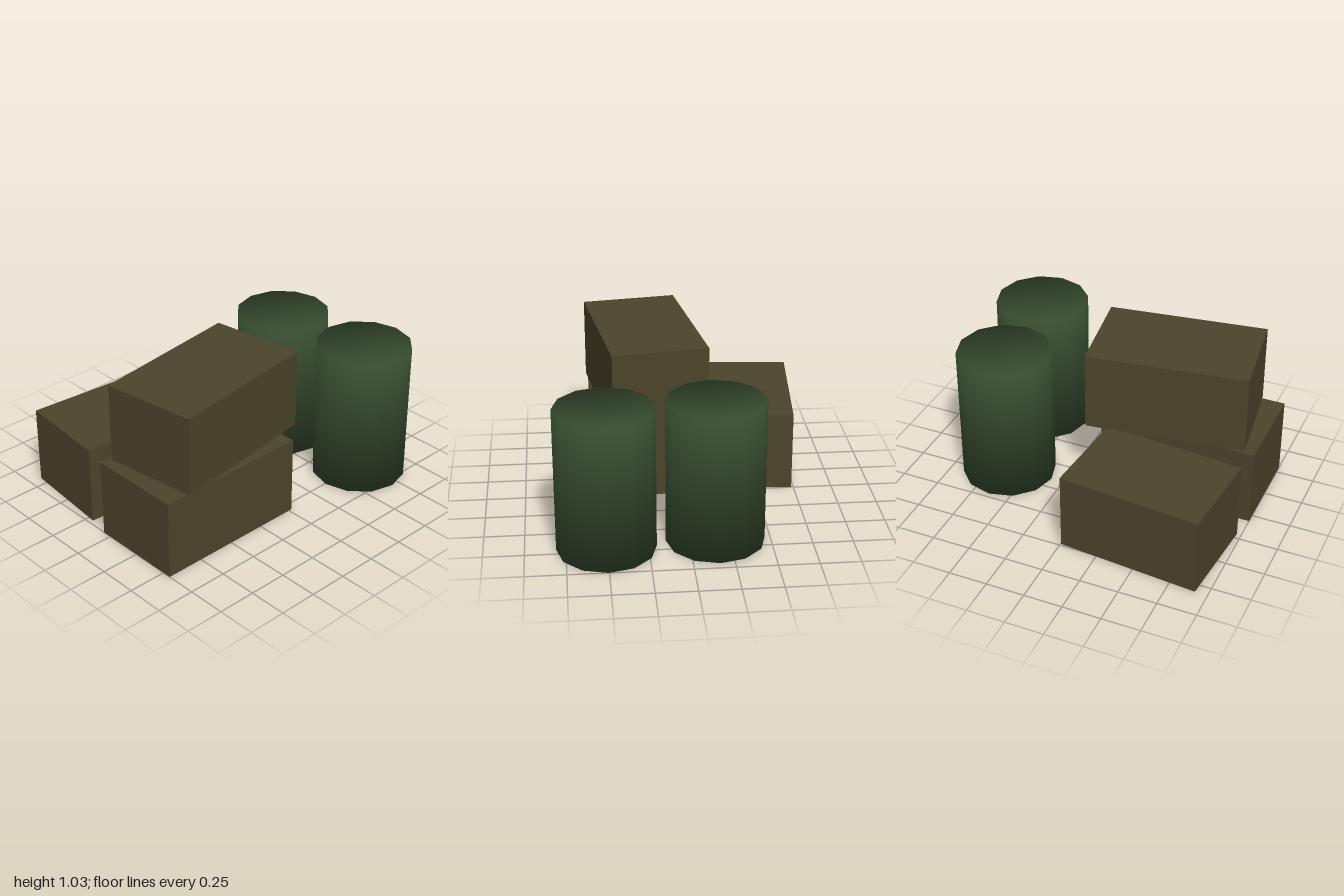
import * as THREE from 'three';

const SIDES = 12, RADIUS = 0.305, HEIGHT = 0.925, CRATE_H = 0.515;

// Twelve-sided drum with normals shared between wall and lids for a soft rim
function drumGeometry() {
  const positions = [], normals = [], indices = [];
  for (const up of [-1, 1]) {
    for (let i = 0; i < SIDES; i++) {
      const a = (i / SIDES) * Math.PI * 2;
      const s = Math.sin(a), c = Math.cos(a);
      positions.push(s * RADIUS, up < 0 ? 0 : HEIGHT, c * RADIUS);
      normals.push(s * 0.757, up * 0.653, c * 0.757);
    }
  }
  // wall
  for (let i = 0; i < SIDES; i++) {
    const j = (i + 1) % SIDES;
    indices.push(i, j, SIDES + j, i, SIDES + j, SIDES + i);
  }
  // lids, filled as a zigzag strip across the rim
  let lo = 0, hi = SIDES - 1;
  for (let k = 0; lo + 1 < hi; k++) {
    const tri = k % 2 === 0 ? [lo, lo + 1, hi] : [lo, hi - 1, hi];
    if (k % 2 === 0) lo++; else hi--;
    indices.push(...tri.map((v) => v + SIDES), tri[0], tri[2], tri[1]);
  }
  const g = new THREE.BufferGeometry();
  g.setAttribute('position', new THREE.Float32BufferAttribute(positions, 3));
  g.setAttribute('normal', new THREE.Float32BufferAttribute(normals, 3));
  g.setIndex(indices);
  return g;
}

export function createModel() {
  const group = new THREE.Group();
  group.name = 'cratesAndDrums';
  const olive = new THREE.MeshStandardMaterial({ color: 0x4b442c });
  olive.name = 'olive brown';
  const green = new THREE.MeshStandardMaterial({ color: 0x374b30 });
  green.name = 'dark green';

  // Crates: two on the ground, one stacked askew on top
  const crates = [
    ['frontCrate', 1.02, 0.615, -0.49, 0, 0.248, 0],
    ['backCrate', 0.918, 0.61, -0.488, 0, -0.472, -0.085],
    ['topCrate', 1.02, 0.615, -0.384, CRATE_H, 0.197, 0.14],
  ];
  for (const [name, w, d, x, y, z, turn] of crates) {
    const crate = new THREE.Mesh(new THREE.BoxGeometry(w, CRATE_H, d), olive);
    crate.name = name;
    crate.position.set(x, y + CRATE_H / 2, z);
    crate.rotation.y = turn;
    group.add(crate);
  }

  // Drums standing beside the crates
  const drum = drumGeometry();
  for (const [name, x, z] of [['backDrum', 0.64, -0.163], ['frontDrum', 0.695, 0.505]]) {
    const mesh = new THREE.Mesh(drum, green);
    mesh.name = name;
    mesh.position.set(x, 0, z);
    group.add(mesh);
  }
  return group;
}
